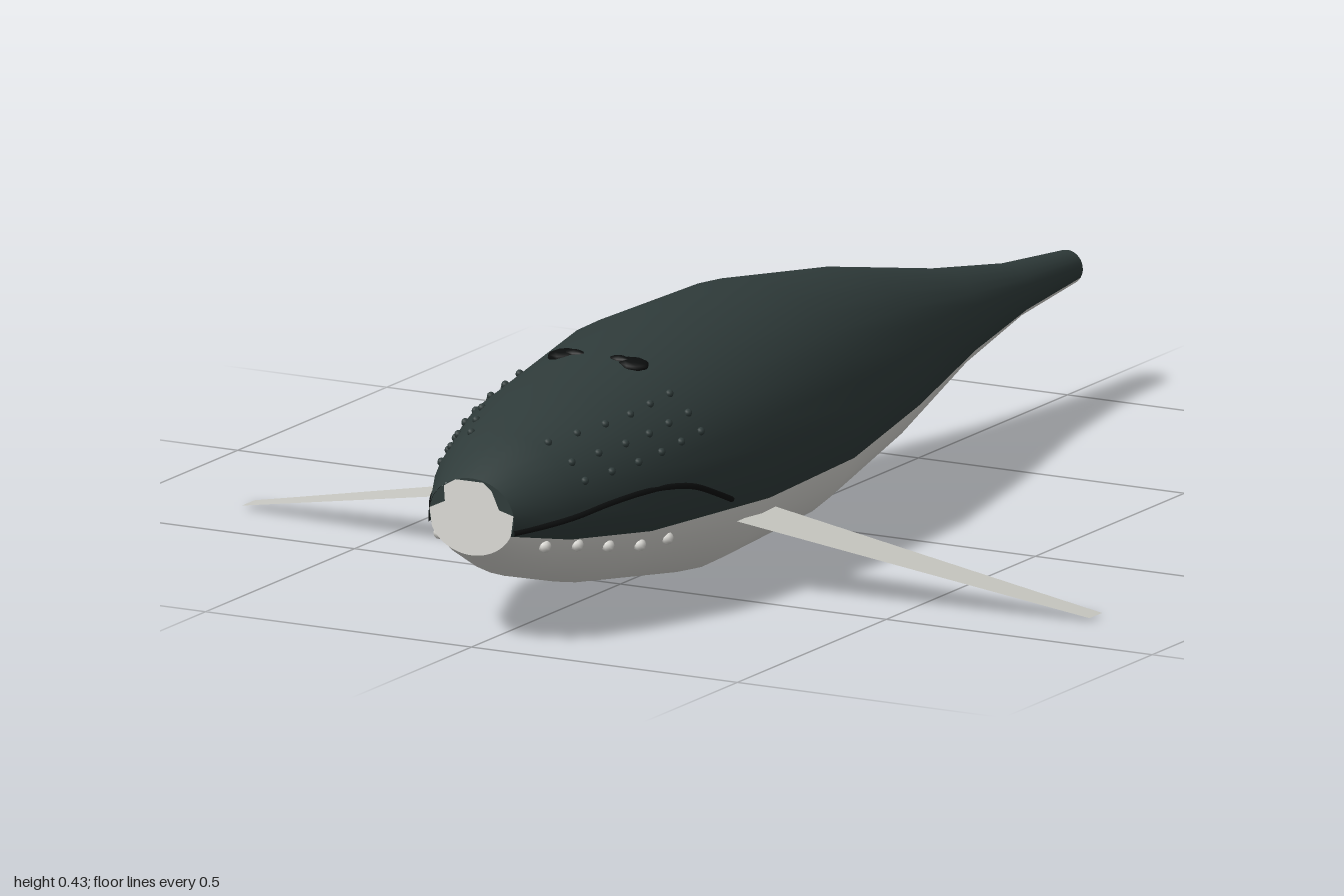
import * as THREE from 'three';

const mat = (name, color, side = THREE.FrontSide) => {
  const m = new THREE.MeshStandardMaterial({ color, side });
  m.name = name;
  return m;
};

// Body cross-sections: z, half width, top y, bottom y, y where back meets belly
const SECTIONS = [
  [1, 0.08, 0.29, 0.16, 0.2],
  [0.96, 0.1, 0.312, 0.137, 0.192],
  [0.89, 0.135, 0.345, 0.102, 0.178],
  [0.72, 0.195, 0.39, 0.056, 0.163],
  [0.4, 0.235, 0.437, 0.005, 0.156],
  [0.08, 0.217, 0.431, 0.015, 0.153],
  [-0.25, 0.153, 0.381, 0.066, 0.164],
  [-0.57, 0.08, 0.31, 0.138, 0.181],
  [-0.8, 0.044, 0.27, 0.176, 0.196],
  [-1, 0.029, 0.25, 0.192, 0.206],
];

// Body section at any z
function sectionAt(z) {
  let i = 0;
  while (i < SECTIONS.length - 2 && SECTIONS[i + 1][0] > z) i++;
  const a = SECTIONS[i], b = SECTIONS[i + 1], t = (z - a[0]) / (b[0] - a[0]);
  const [, w, top, bottom] = a.map((v, k) => THREE.MathUtils.lerp(v, b[k], t));
  return { w, cy: (top + bottom) / 2, h: (top - bottom) / 2 };
}

// Point on the skin at a given z and height, on the +x side
function skin(z, y) {
  const { w, cy, h } = sectionAt(z);
  const s = THREE.MathUtils.clamp((y - cy) / h, -1, 1);
  return new THREE.Vector3(w * Math.sqrt(1 - s * s), y, z);
}

function bodyGeometry() {
  const UP = 18, LOW = 12, N = UP + LOW, pos = [], back = [], belly = [];
  for (const [z, w, top, bottom, line] of SECTIONS) {
    const cy = (top + bottom) / 2, h = (top - bottom) / 2;
    const a0 = Math.asin((line - cy) / h), upper = Math.PI - 2 * a0;
    for (let j = 0; j < N; j++) {
      const a = j < UP ? a0 + (upper * j) / UP
        : a0 + upper + ((2 * Math.PI - upper) * (j - UP)) / LOW;
      pos.push(w * Math.cos(a), cy + h * Math.sin(a), z);
    }
  }
  for (let i = 0; i < SECTIONS.length - 1; i++) {
    for (let j = 0; j < N; j++) {
      const k = (j + 1) % N, a = i * N + j, b = i * N + k;
      (j < UP ? back : belly).push(a, a + N, b, b, a + N, b + N);
    }
  }
  const g = new THREE.BufferGeometry();
  g.setAttribute('position', new THREE.Float32BufferAttribute(pos, 3));
  g.setIndex([...back, ...belly]);
  g.addGroup(0, back.length, 0);
  g.addGroup(back.length, belly.length, 1);
  g.computeVertexNormals();
  return g;
}

export function createModel() {
  const dark = mat('slate back', 0x2f3b3a);
  const pale = mat('pale belly', 0xdddcd7);
  const fin = mat('fin grey', 0xc9c9c3, THREE.DoubleSide);
  const black = mat('black', 0x0b0d0d);

  const model = new THREE.Group();
  model.name = 'whale';
  const add = (name, geometry, material, parent = model) => {
    const m = new THREE.Mesh(geometry, material);
    m.name = name;
    parent.add(m);
    return m;
  };

  add('body', bodyGeometry(), [dark, pale]);

  // Blunt snout end: dark disc with a pale patch in front
  const snout = add('snoutEnd', new THREE.CircleGeometry(1, 30), dark);
  snout.scale.set(0.08, 0.065, 1);
  snout.position.set(0, 0.225, 0.998);
  const patch = new THREE.Shape();
  patch.moveTo(-0.074, 0.2);
  patch.absellipse(0, 0.225, 0.08, 0.065, Math.PI * 1.12, Math.PI * 1.88, false);
  [[0.079, 0.235], [0.052, 0.242], [0.038, 0.272], [0.022, 0.285], [-0.03, 0.285],
    [-0.052, 0.272], [-0.05, 0.246], [-0.079, 0.232]].forEach(([x, y]) => patch.lineTo(x, y));
  add('snoutPatch', new THREE.ShapeGeometry(patch, 16), pale).position.z = 1;

  // Tail stump end
  const tail = add('tailEnd', new THREE.CircleGeometry(0.029, 24), pale);
  tail.rotation.y = Math.PI;
  tail.position.set(0, 0.221, -1);

  const bump = new THREE.SphereGeometry(1, 8, 6);
  for (const side of [1, -1]) {
    const half = new THREE.Group();
    half.name = side > 0 ? 'leftSide' : 'rightSide';
    model.add(half);

    // Flat, swept pectoral fin
    const finGeo = new THREE.BufferGeometry();
    finGeo.setAttribute('position', new THREE.Float32BufferAttribute([
      side * 0.205, 0.13, 0.475, side * 0.205, 0.13, 0.352,
      side * 0.797, 0.01, 0.306, side * 0.797, 0.01, 0.348], 3));
    finGeo.setIndex(side > 0 ? [0, 3, 2, 0, 2, 1] : [0, 2, 3, 0, 1, 2]);
    finGeo.computeVertexNormals();
    add('pectoralFin', finGeo, fin, half);

    // Mouth line following the skin
    const path = [[0.998, 0.205], [0.94, 0.21], [0.89, 0.217], [0.82, 0.228], [0.75, 0.235],
      [0.68, 0.232], [0.62, 0.22], [0.56, 0.197], [0.51, 0.176]].map(([z, y]) => {
      const p = skin(z, y);
      p.x *= side;
      return p;
    });
    add('mouthLine', new THREE.TubeGeometry(new THREE.CatmullRomCurve3(path), 40, 0.005, 6), black, half);

    // Blowhole, broad outside and narrow toward the middle
    const hole = add('blowhole', bump, black, half);
    hole.position.set(side * 0.065, 0.4, 0.575);
    hole.scale.set(0.029, 0.009, 0.024);
    hole.rotation.set(0.13, 0, -side * 0.08);
    const slit = add('blowholeSlit', bump, black, half);
    slit.position.set(side * 0.042, 0.405, 0.578);
    slit.scale.set(0.02, 0.008, 0.01);
    slit.rotation.x = 0.13;

    // Rows of knobs on the upper jaw
    for (let row = 0; row < 3; row++) {
      for (let i = 0; i < 6; i++) {
        const z = 0.86 - i * 0.057 + row * 0.006;
        const knob = add('jawKnob', bump, dark, half);
        knob.position.copy(skin(z, 0.272 + row * 0.03 + i * 0.006));
        knob.position.x *= side;
        knob.scale.setScalar(0.007);
      }
    }
    // Pale knobs along the chin
    for (const [z, y] of [[0.93, 0.172], [0.87, 0.165], [0.8, 0.151], [0.73, 0.14], [0.66, 0.138]]) {
      const knob = add('chinKnob', bump, pale, half);
      knob.position.copy(skin(z, y));
      knob.position.x *= side;
      knob.scale.setScalar(0.011);
    }
  }
  return model;
}
